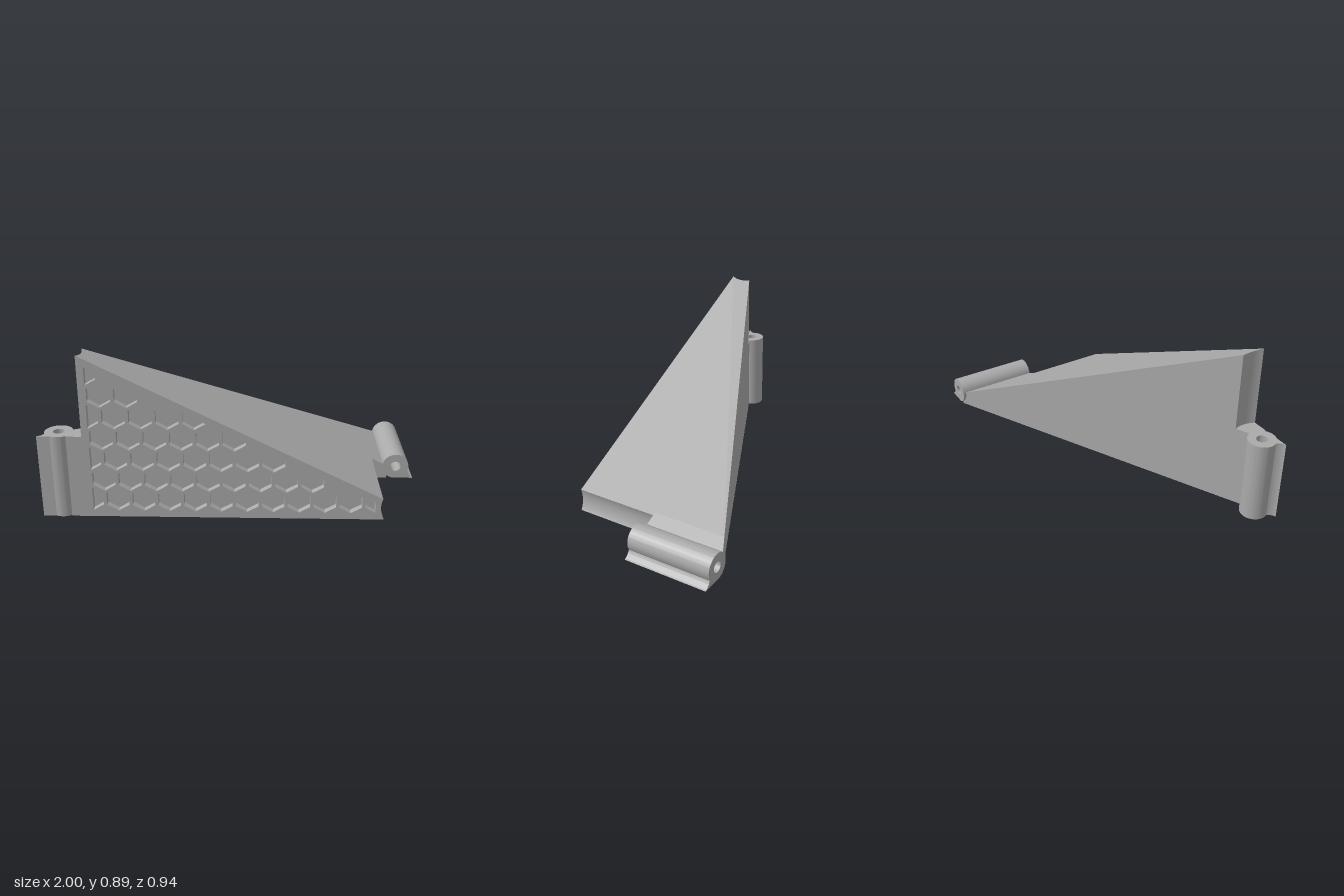
import * as THREE from 'three';
import { toCreasedNormals } from 'three/addons/utils/BufferGeometryUtils.js';

const DEPTH = 0.461;                       // outer face offset
const CELL = 0.035;                        // honeycomb recess depth
const slopeY = (x) => 0.5 - 0.5 * x;       // sloped top edge
const backZ = (x) => DEPTH - slopeY(-x);   // slanted back plane
const V = (x, y) => new THREE.Vector2(x, y);

const grey = new THREE.MeshStandardMaterial({ color: 0xaaaaaa, side: THREE.DoubleSide });
grey.name = 'plain grey';

function add(group, name, geometry) {
  const mesh = new THREE.Mesh(geometry, grey);
  mesh.name = name;
  group.add(mesh);
  return mesh;
}

// Wall following a 2D path, between two z limits that depend on x
function strip(path, z0, z1) {
  const g = new THREE.PlaneGeometry(1, 1, path.length - 1, 1);
  const p = g.attributes.position;
  for (let i = 0; i < p.count; i++) {
    const q = path[i % path.length];
    p.setXYZ(i, q.x, q.y, (i < path.length ? z0 : z1)(q.x));
  }
  return toCreasedNormals(g, 0.5);
}

// Extrusion between two z values
function extrude(shape, zFar, zNear) {
  const g = new THREE.ExtrudeGeometry(shape, { depth: zNear - zFar, bevelEnabled: false, curveSegments: 32 });
  g.translate(0, 0, zFar);
  return toCreasedNormals(g, 0.5);
}

// Keep the part of a polygon where f >= 0
function clip(poly, f) {
  const out = [];
  poly.forEach((a, i) => {
    const b = poly[(i + 1) % poly.length], fa = f(a), fb = f(b);
    if (fa >= 0) out.push(a);
    if ((fa >= 0) !== (fb >= 0)) out.push(a.clone().lerp(b, fa / (fa - fb)));
  });
  return out;
}

// Hexagons trimmed to the panel margins
function honeycomb() {
  const cells = [], pitch = 0.1335, limit = (x) => slopeY(x) - 0.042;
  for (let row = 0; row < 7; row++) {
    const cy = 0.102 + row * pitch * 0.866;
    for (let col = 0; col < 12; col++) {
      const cx = -0.738 + pitch * (col + (row % 2) / 2);
      if (cy > limit(cx) + 0.012) continue;
      let poly = [];
      for (let k = 0; k < 6; k++) {
        const a = Math.PI / 6 + k * Math.PI / 3;
        poly.push(V(cx + 0.067 * Math.cos(a), cy + 0.067 * Math.sin(a)));
      }
      poly = clip(poly, (p) => p.x + 0.735);
      poly = clip(poly, (p) => 0.725 - p.x);
      poly = clip(poly, (p) => limit(p.x) - p.y);
      if (poly.length > 2) cells.push(poly);
    }
  }
  return cells;
}

// Concave clearance groove around the hinge axis, bottom to top
const arc = [];
for (let i = 0; i <= 12; i++) {
  const a = Math.PI + 0.504 - (0.856 * i) / 12;
  arc.push(V(0.897 + 0.145 * Math.cos(a), 0.07 + 0.145 * Math.sin(a)));
}

// One half: honeycomb panel, sloped face, groove and hinge knuckle
function createHalf(o) {
  const g = new THREE.Group();
  const cells = honeycomb();

  // Outer panel with recessed cells
  const panel = new THREE.Shape([V(-0.77, 0), ...arc, V(-0.77, 0.885)]);
  cells.forEach((c) => panel.holes.push(new THREE.Path(c)));
  add(g, 'honeycombPanel', new THREE.ShapeGeometry(panel)).position.z = DEPTH;
  for (const c of cells) {
    add(g, 'cellWall', strip([...c, c[0]], () => DEPTH, () => DEPTH - CELL));
    add(g, 'cellFloor', new THREE.ShapeGeometry(new THREE.Shape(c))).position.z = DEPTH - CELL;
  }

  // Sloped face, laid out in x and z and lifted to the slope
  const end = arc[arc.length - 1].x;
  const outline = [...arc.map((p) => V(-p.x, DEPTH - p.y)), V(end, backZ(end)), V(end, DEPTH)];
  const slope = new THREE.ShapeGeometry(new THREE.Shape(outline));
  const p = slope.attributes.position;
  for (let i = 0; i < p.count; i++) p.setXYZ(i, p.getX(i), slopeY(p.getX(i)), p.getY(i));
  slope.index.array.reverse();
  slope.computeVertexNormals();
  // Reversing may leave the normal down; make it face up
  if (slope.attributes.normal.getY(0) < 0) {
    slope.index.array.reverse();
    slope.computeVertexNormals();
  }
  add(g, 'slopedFace', slope);

  add(g, 'hingeGroove', strip(arc, o.grooveNear, o.grooveFar));

  // Web joining body and knuckle; its far end follows the back plane if open
  const web = new THREE.Shape([V(0.745, 0), V(0.85, 0), V(0.85, slopeY(0.85)), V(0.745, slopeY(0.745))]);
  const wg = new THREE.ExtrudeGeometry(web, { depth: 1, bevelEnabled: false });
  const w = wg.attributes.position;
  for (let i = 0; i < w.count; i++) {
    w.setZ(i, w.getZ(i) > 0.5 ? o.near : o.followBack ? backZ(w.getX(i)) : o.far);
  }
  wg.computeVertexNormals();
  add(g, 'hingeWeb', wg);

  // Knuckle tube with pin hole
  const ring = new THREE.Shape().absarc(0.897, o.axis, 0.073, 0, Math.PI * 2);
  ring.holes.push(new THREE.Path().absarc(0.897, o.axis, 0.029, 0, Math.PI * 2, true));
  add(g, 'hingeKnuckle', extrude(ring, o.far, o.near));

  // Thin pointed lip beside the knuckle
  const lip = new THREE.Shape();
  lip.moveTo(0.9, 0);
  lip.lineTo(0.998, 0);
  lip.quadraticCurveTo(0.974, 0.008, 0.962, 0.035);
  lip.lineTo(0.935, 0.03);
  lip.lineTo(0.9, 0.02);
  add(g, 'hingeLip', extrude(lip, o.far, o.near));
  return g;
}

export function createModel() {
  const model = new THREE.Group();
  model.name = 'cornerHingeBracket';

  const front = createHalf({
    near: -0.005, far: -0.468, followBack: true, axis: 0.072,
    grooveNear: () => DEPTH, grooveFar: () => -0.005,
  });
  front.name = 'frontAndTopHalf';

  // The other half is the same turned half a revolution about a diagonal axis
  const base = createHalf({
    near: DEPTH, far: 0.006, followBack: false, axis: 0.065,
    grooveNear: () => 0.006, grooveFar: backZ,
  });
  base.name = 'baseAndBackHalf';
  base.quaternion.setFromAxisAngle(new THREE.Vector3(0, 1, -1).normalize(), Math.PI);
  base.position.set(0, DEPTH, DEPTH);

  model.add(front, base);
  return model;
}
